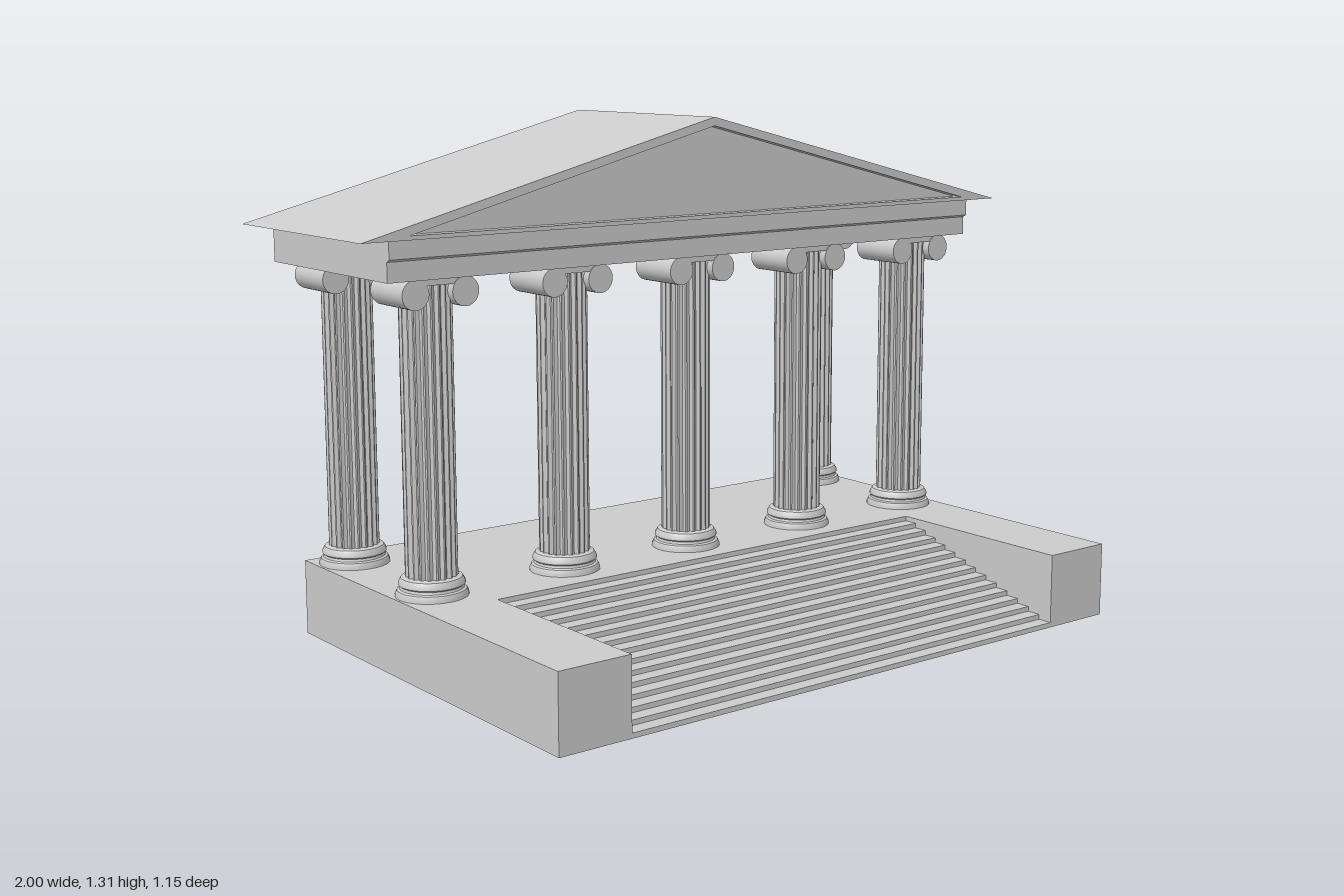
import * as THREE from 'three';
import { toCreasedNormals } from 'three/addons/utils/BufferGeometryUtils.js';

const BACK = -0.575, FRONT = 0.575, BASE_TOP = 0.192;
const STEPS = 15, STAIR_HALF = 0.67, STAIR_BACK = -0.005;
const material = new THREE.MeshStandardMaterial({ color: 0xcccccc });

function add(parent, name, geometry, x = 0, y = 0, z = 0) {
  const mesh = new THREE.Mesh(geometry, material);
  mesh.name = name;
  mesh.position.set(x, y, z);
  parent.add(mesh);
  return mesh;
}

const shapeOf = (pts) => new THREE.Shape(pts.map(([x, y]) => new THREE.Vector2(x, y)));
const extrude = (shape, depth) =>
  new THREE.ExtrudeGeometry(shape, { depth, bevelEnabled: false });

// Box given by its limits
function block(parent, name, x0, x1, y0, y1, z0, z1) {
  return add(parent, name, new THREE.BoxGeometry(x1 - x0, y1 - y0, z1 - z0),
    (x0 + x1) / 2, (y0 + y1) / 2, (z0 + z1) / 2);
}

// Platform with a notch at the front for the stairs
function platformGeometry() {
  const w = 0.863, s = STAIR_HALF;
  const outline = [[-w, BACK], [w, BACK], [w, FRONT], [s, FRONT],
    [s, STAIR_BACK], [-s, STAIR_BACK], [-s, FRONT], [-w, FRONT]];
  return extrude(shapeOf(outline.map(([x, z]) => [x, -z])), BASE_TOP).rotateX(-Math.PI / 2);
}

// Flight of steps, also stepped and hollow underneath
function stairsGeometry() {
  const run = (FRONT - STAIR_BACK) / STEPS, rise = BASE_TOP / STEPS, solid = 6;
  const z = (i) => FRONT - i * run;
  const pts = [[FRONT, 0]];
  for (let i = 0; i < STEPS; i++) pts.push([z(i), (i + 1) * rise], [z(i + 1), (i + 1) * rise]);
  for (let i = STEPS - 1; i >= solid; i--) {
    const y = (i - solid + 1) * rise;
    pts.push([z(i + 1), y], [z(i), y]);
  }
  pts.push([z(solid), 0]);
  return extrude(shapeOf(pts), STAIR_HALF * 2).rotateY(-Math.PI / 2).translate(STAIR_HALF, 0, 0);
}

// Shaft with rounded flutes separated by narrow flat fillets
function shaftGeometry(height) {
  const flutes = 20, seg = 6, radius = 0.0635, depth = 0.007, pts = [];
  for (let f = 0; f < flutes; f++) {
    for (let k = 0; k <= seg; k++) {
      const t = k / seg;
      const a = (f + 0.1 + 0.8 * t) / flutes * Math.PI * 2;
      const r = radius - depth * Math.sin(Math.PI * t);
      pts.push([r * Math.cos(a), r * Math.sin(a)]);
    }
  }
  return toCreasedNormals(extrude(shapeOf(pts), height).rotateX(-Math.PI / 2), 0.5);
}

// Moulded foot of a column
function footGeometry() {
  const profile = [[0, 0], [0.089, 0], [0.089, 0.005], [0.084, 0.016], [0.078, 0.019],
    [0.076, 0.025], [0.081, 0.029], [0.081, 0.034], [0.074, 0.046], [0.066, 0.049], [0, 0.049]];
  const lathe = new THREE.LatheGeometry(profile.map(([x, y]) => new THREE.Vector2(x, y)), 32);
  return toCreasedNormals(lathe, 0.6);
}

// Triangle standing on y with the gable's slope
const gable = (half, y0, y1) => [[-half, y0], [half, y0], [0, y1]];

export function createModel() {
  const model = new THREE.Group();
  model.name = 'temple';

  add(model, 'platform', platformGeometry());
  add(model, 'stairs', stairsGeometry());

  // Columns: five in front, two at the back corners
  const shaft = shaftGeometry(0.722), foot = footGeometry();
  const scroll = new THREE.CylinderGeometry(0.036, 0.036, 0.147, 28).rotateX(Math.PI / 2);
  const frontZ = -0.103, backZ = -0.487;
  const places = [-2, -1, 0, 1, 2].map((i) => [i * 0.384, frontZ]);
  places.push([-0.768, backZ], [0.768, backZ]);
  for (const [x, z] of places) {
    const column = new THREE.Group();
    column.name = 'column';
    column.position.set(x, BASE_TOP, z);
    add(column, 'columnFoot', foot);
    add(column, 'columnShaft', shaft, 0, 0.046, 0);
    for (const side of [-1, 1]) add(column, 'capitalScroll', scroll, side * 0.067, 0.735, 0);
    block(column, 'capitalPlate', -0.067, 0.067, 0.754, 0.7705, -0.071, 0.071);
    model.add(column);
  }

  // Beam: lower band, and upper band projecting over a small chamfer
  const beam = shapeOf([[BACK, 0.962], [-0.013, 0.962], [-0.013, 1.01], [-0.002, 1.016],
    [-0.002, 1.06], [BACK, 1.06]]);
  add(model, 'beam', extrude(beam, 1.834).rotateY(-Math.PI / 2).translate(0.917, 0, 0));

  // Roof body, with a raised rim in front framing the recessed gable
  const roofFront = 0.02, recess = 0.03;
  add(model, 'roof', extrude(shapeOf(gable(1, 1.06, 1.313)), roofFront - recess - BACK), 0, 0, BACK);
  const rim = shapeOf(gable(1, 1.06, 1.313));
  rim.holes.push(new THREE.Path(gable(0.875, 1.07, 1.291).map(([x, y]) => new THREE.Vector2(x, y))));
  add(model, 'gableRim', extrude(rim, recess), 0, 0, roofFront - recess);

  return model;
}
